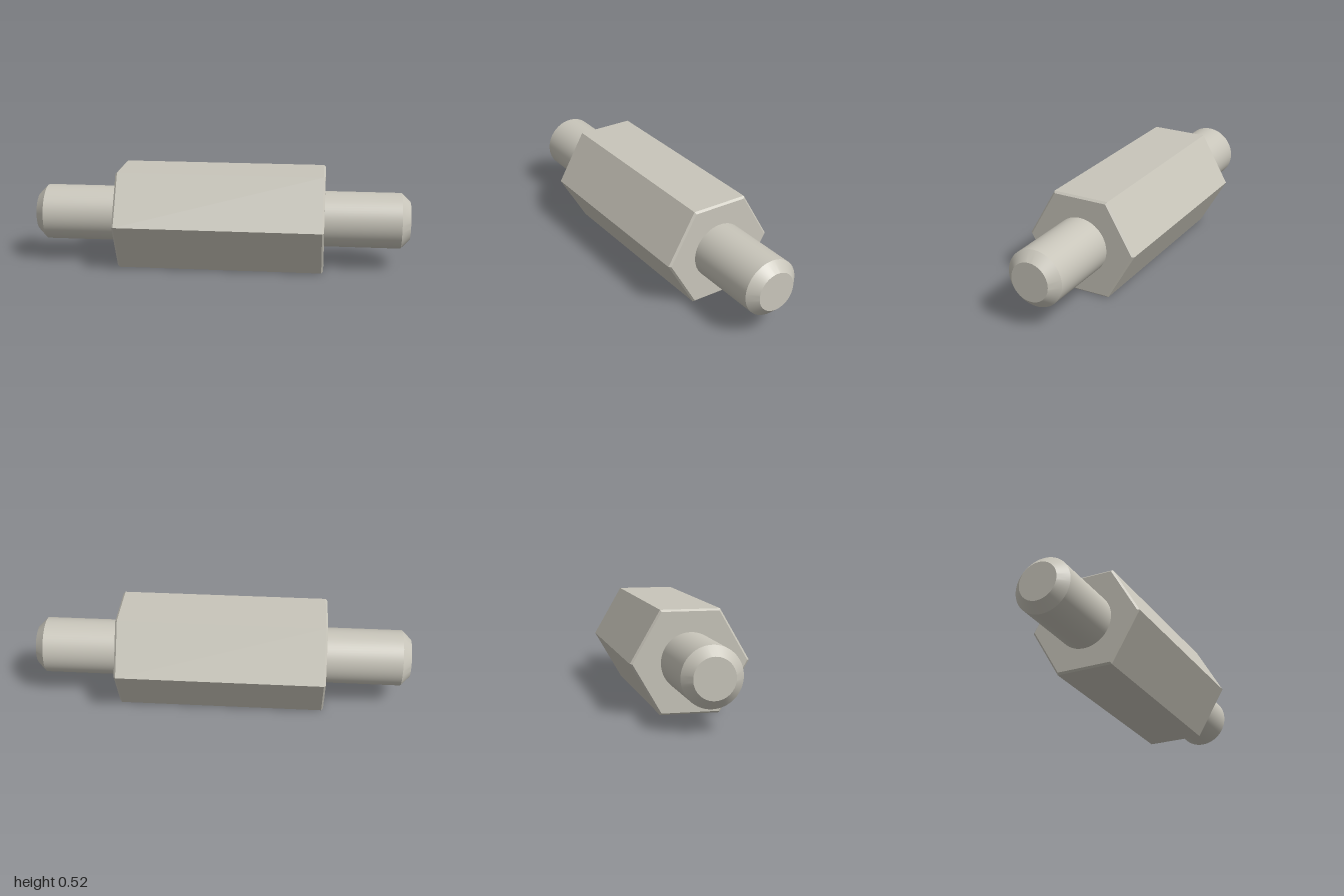
import * as THREE from 'three';
import { toCreasedNormals } from 'three/addons/utils/BufferGeometryUtils.js';

const HEX_HALF = 0.55;    // half length of the hexagonal body
const HEX_R = 0.3;        // radius to the hexagon corners
const STUD_R = 0.148;
const STUD_END = 1.0;     // distance from centre to stud tip
const CHAMFER = 0.047;

// Turned solid about the x axis from [radius, position] pairs, with sharp edges kept
function turned(profile, sides) {
  const points = profile.map(([r, x]) => new THREE.Vector2(r, x));
  const geometry = new THREE.LatheGeometry(points, sides);
  geometry.rotateZ(-Math.PI / 2);
  return toCreasedNormals(geometry, 0.5);
}

export function createModel() {
  const metal = new THREE.MeshStandardMaterial({ color: 0xc8c5ba });
  metal.name = 'warm grey metal';

  const model = new THREE.Group();
  model.name = 'hexStandoff';

  // Hexagonal body with a fine bevel at both ends
  const body = new THREE.Mesh(turned([
    [0, -HEX_HALF],
    [HEX_R - 0.011, -HEX_HALF],
    [HEX_R, -HEX_HALF + 0.01],
    [HEX_R, HEX_HALF - 0.01],
    [HEX_R - 0.011, HEX_HALF],
    [0, HEX_HALF],
  ], 6), metal);
  body.name = 'hexBody';
  model.add(body);

  // Round studs with chamfered tips, one at each end
  const studGeometry = turned([
    [STUD_R, HEX_HALF - 0.01],
    [STUD_R, STUD_END - CHAMFER],
    [STUD_R - CHAMFER, STUD_END],
    [0, STUD_END],
  ], 64);
  for (const [name, turn] of [['leftStud', 0], ['rightStud', Math.PI]]) {
    const stud = new THREE.Mesh(studGeometry, metal);
    stud.name = name;
    stud.rotation.y = turn;
    model.add(stud);
  }

  // Lies at a slight angle, resting on a flat
  model.rotation.y = THREE.MathUtils.degToRad(-12);
  model.position.y = HEX_R * Math.sqrt(3) / 2;
  return model;
}
